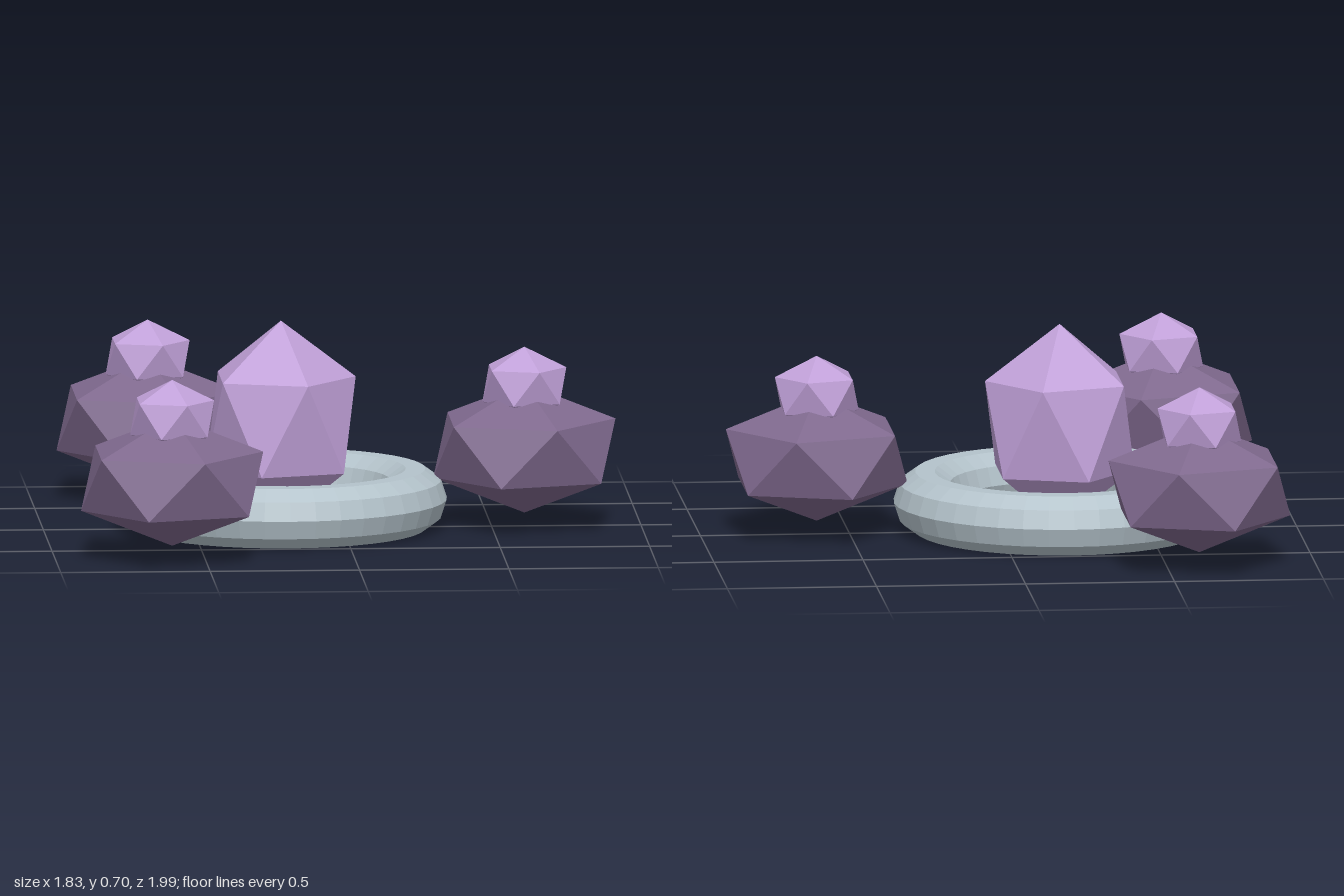
import * as THREE from 'three';

export function createModel() {
  const model = new THREE.Group();

  const material = (name, color) => {
    const m = new THREE.MeshStandardMaterial({ color, flatShading: true });
    m.name = name;
    return m;
  };
  const paleStone = material('paleStone', 0xb4c3cb);
  const lilacCrystal = material('lilacCrystal', 0xc0a0d8);
  const duskyRock = material('duskyRock', 0x7f698e);

  // Icosahedron standing on a point, with an upper-ring corner towards +x
  const gem = (name, mat, radius, halfHeight, x, y, z) => {
    const geometry = new THREE.IcosahedronGeometry(1, 0)
      .rotateX(-Math.atan((1 + Math.sqrt(5)) / 2))
      .rotateY(Math.PI / 2)
      .scale(radius, halfHeight, radius);
    const mesh = new THREE.Mesh(geometry, mat);
    mesh.name = name;
    mesh.position.set(x, y, z);
    return mesh;
  };

  // Base ring
  const ring = new THREE.Mesh(
    new THREE.TorusGeometry(0.45, 0.1055, 10, 40).rotateX(Math.PI / 2), paleStone);
  ring.name = 'baseRing';
  ring.position.set(-0.205, 0.1005, 0);
  model.add(ring);

  // Tall crystal in the middle of the ring
  model.add(gem('centreCrystal', lilacCrystal, 0.28, 0.344, -0.205, 0.356, 0));

  // Three outer rocks, each topped by a small crystal
  for (const [x, z] of [[0.61, 0], [-0.61, 0.705], [-0.61, -0.705]]) {
    const cluster = new THREE.Group();
    cluster.name = 'rockCluster';
    cluster.position.set(x, 0, z);
    cluster.add(
      gem('rock', duskyRock, 0.341, 0.218, 0, 0.263, 0),
      gem('smallCrystal', lilacCrystal, 0.157, 0.127, 0, 0.478, 0));
    model.add(cluster);
  }

  return model;
}
